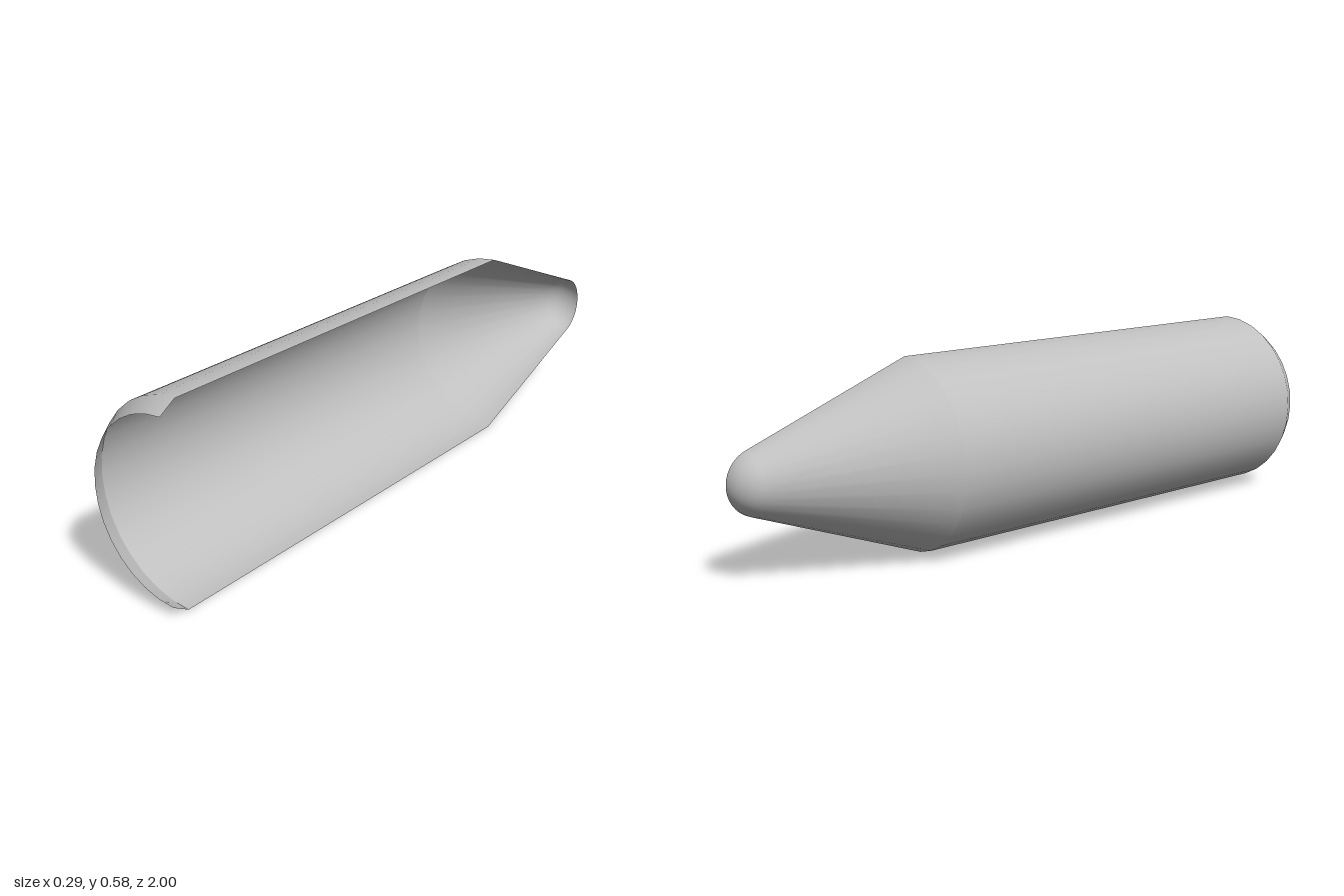
import * as THREE from 'three';

const RADIUS = 0.289;
const SHOULDER_Z = -0.43;
const LIP_Z = 0.95;

export function createModel() {
  const group = new THREE.Group();
  group.name = 'halfShell';
  const grey = new THREE.MeshStandardMaterial({ color: 0xc0c0c0, side: THREE.DoubleSide });
  grey.name = 'light grey';

  // Half revolution around the z axis, on the -x side; profile is [radius, z] from front to tip
  function halfRevolve(name, profile) {
    const points = profile.map(([r, z]) => new THREE.Vector2(r, -z));
    const geometry = new THREE.LatheGeometry(points, 16, Math.PI, Math.PI);
    geometry.rotateX(-Math.PI / 2);
    geometry.translate(RADIUS / 2, RADIUS, 0);
    const mesh = new THREE.Mesh(geometry, grey);
    mesh.name = name;
    group.add(mesh);
  }

  // Bevelled open end and straight body
  halfRevolve('bevelledLip', [[0.258, 1], [RADIUS, LIP_Z]]);
  halfRevolve('body', [[RADIUS, LIP_Z], [RADIUS, SHOULDER_Z]]);

  // Cone running tangentially into a rounded tip
  const tipRadius = 0.0975;
  const slope = THREE.MathUtils.degToRad(21.3);
  const nose = [[RADIUS, SHOULDER_Z]];
  const steps = 10;
  for (let i = 0; i <= steps; i++) {
    const a = slope + (Math.PI / 2 - slope) * (i / steps);
    nose.push([i === steps ? 0 : tipRadius * Math.cos(a), -1 + tipRadius - tipRadius * Math.sin(a)]);
  }
  halfRevolve('nose', nose);

  return group;
}
